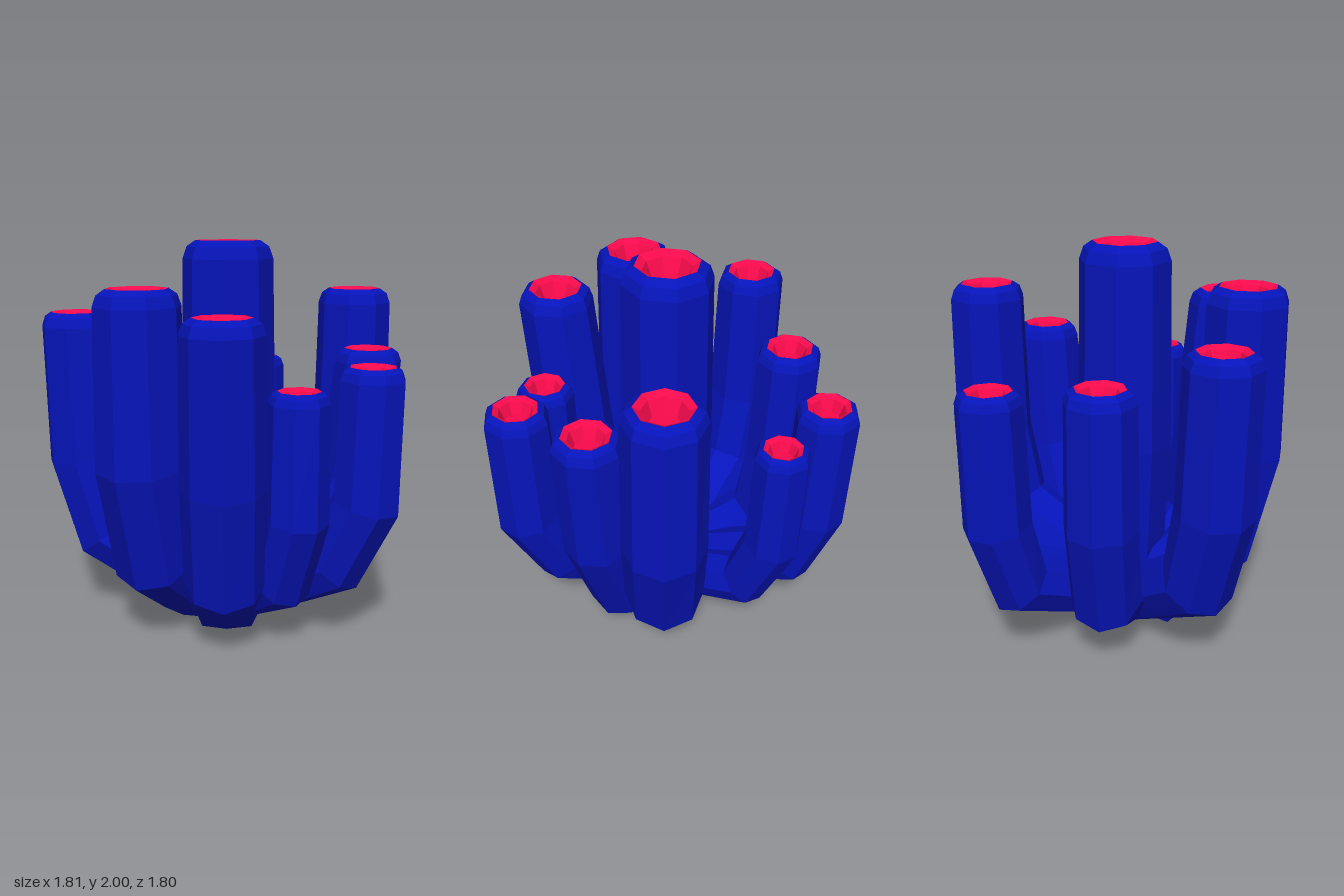
import * as THREE from 'three';

const SIDES = 8;
const UP = new THREE.Vector3(0, 1, 0);

// Flat-shaded skin over rings {out, y, r, tilt}; 'out' runs along the heading from the root.
function loft(rings, origin, heading, material, name) {
  const side = new THREE.Vector3().crossVectors(UP, heading);
  const points = rings.map(({ out, y, r, tilt }) => {
    const across = heading.clone().multiplyScalar(Math.cos(tilt)).addScaledVector(UP, -Math.sin(tilt));
    const loop = [];
    for (let i = 0; i < SIDES; i++) {
      const a = (i / SIDES) * Math.PI * 2;
      const p = origin.clone().addScaledVector(heading, out).addScaledVector(UP, y)
        .addScaledVector(across, r * Math.cos(a)).addScaledVector(side, r * Math.sin(a));
      p.y = Math.max(p.y, 0); // flat foot on the floor
      loop.push(p);
    }
    return loop;
  });
  const pos = [];
  const tri = (...ps) => ps.forEach((p) => pos.push(p.x, p.y, p.z));
  for (let k = 0; k + 1 < rings.length; k++) {
    for (let i = 0; i < SIDES; i++) {
      const j = (i + 1) % SIDES;
      const [a, b, c, d] = [points[k][i], points[k][j], points[k + 1][j], points[k + 1][i]];
      if (rings[k].r > 0) tri(a, b, c);
      if (rings[k + 1].r > 0) tri(a, c, d);
    }
  }
  const geometry = new THREE.BufferGeometry();
  geometry.setAttribute('position', new THREE.Float32BufferAttribute(pos, 3));
  geometry.computeVertexNormals();
  const mesh = new THREE.Mesh(geometry, material);
  mesh.name = name;
  return mesh;
}

export function createModel() {
  const model = new THREE.Group();
  model.name = 'tubeCoral';
  const blue = new THREE.MeshStandardMaterial({ color: 0x0614ba, flatShading: true });
  const red = new THREE.MeshStandardMaterial({ color: 0xfa0a4c, flatShading: true });

  // path: centre line from root to knee as [out, y, radius factor]
  function addTube(name, origin, heading, dist, R, H, path) {
    const tube = new THREE.Group();
    tube.name = name;
    const line = [...path, [dist, H - 0.38 * R, 0.97]];
    const angle = (k) => Math.atan2(line[k + 1][0] - line[k][0], line[k + 1][1] - line[k][1]);
    const tilts = [angle(0), (angle(0) + angle(1)) / 2, (angle(1) + angle(2)) / 2, 0];
    const stem = line.map(([out, y, s], k) => ({ out, y, r: R * s, tilt: tilts[k] }));
    const top = (s, drop) => ({ out: dist, y: H - drop * R, r: R * s, tilt: 0 });

    // Stem with a rounded shoulder
    tube.add(loft([{ ...stem[0], r: 0 }, ...stem, top(0.88, 0.13), top(0.69, 0)], origin, heading, blue, 'stem'));
    // Funnel-shaped mouth sunk into the tip
    tube.add(loft([top(0.69, 0), top(0.52, 0.1), top(0.37, 0.45), top(0, 0.45)], origin, heading, red, 'mouth'));
    model.add(tube);
  }

  addTube('centreTube', new THREE.Vector3(-0.05, 0, 0.07), new THREE.Vector3(1, 0, 0), 0, 0.24, 2,
    [[0, 0, 0.8], [0, 0.45, 0.95], [0, 0.95, 1.04]]);

  // Outer tubes: root x, z, tip x, z, radius, height, elbow reach, elbow height, knee reach
  const outer = [
    [-0.04, 0.08, 0.12, -0.71, 0.205, 1.73, 0.85, 0.27, 0.99],
    [-0.04, 0.08, 0.44, -0.47, 0.18, 1.45, 0.68, 0.18, 0.93],
    [-0.04, 0.08, 0.745, -0.16, 0.17, 1.42, 0.78, 0.28, 0.98],
    [-0.04, 0.1, 0.58, 0.17, 0.155, 1.32, 0.8, 0.25, 0.99],
    [0.02, 0.14, 0.46, 0.54, 0.205, 1.68, 0.72, 0.22, 0.88],
    [-0.2, 0.14, 0.01, 0.68, 0.22, 1.79, 0.8, 0.235, 1],
    [-0.1, 0.12, -0.64, 0.62, 0.19, 1.63, 0.82, 0.26, 0.97],
    [-0.08, 0.1, -0.71, 0.08, 0.18, 1.45, 0.84, 0.22, 0.98],
    [-0.06, 0.08, -0.75, -0.43, 0.165, 1.42, 0.85, 0.27, 0.98],
    [0.04, 0.02, -0.49, -0.56, 0.145, 1.3, 0.8, 0.25, 0.98],
  ];
  outer.forEach(([rx, rz, x, z, R, H, elbow, elbowY, knee], i) => {
    const heading = new THREE.Vector3(x - rx, 0, z - rz);
    const dist = heading.length();
    addTube(`outerTube${i + 1}`, new THREE.Vector3(rx, 0, rz), heading.normalize(), dist, R, H,
      [[0.08, 0.08, 0.9], [dist * elbow, elbowY * H, 1], [dist * knee, 0.52 * H, 1.03]]);
  });
  return model;
}
